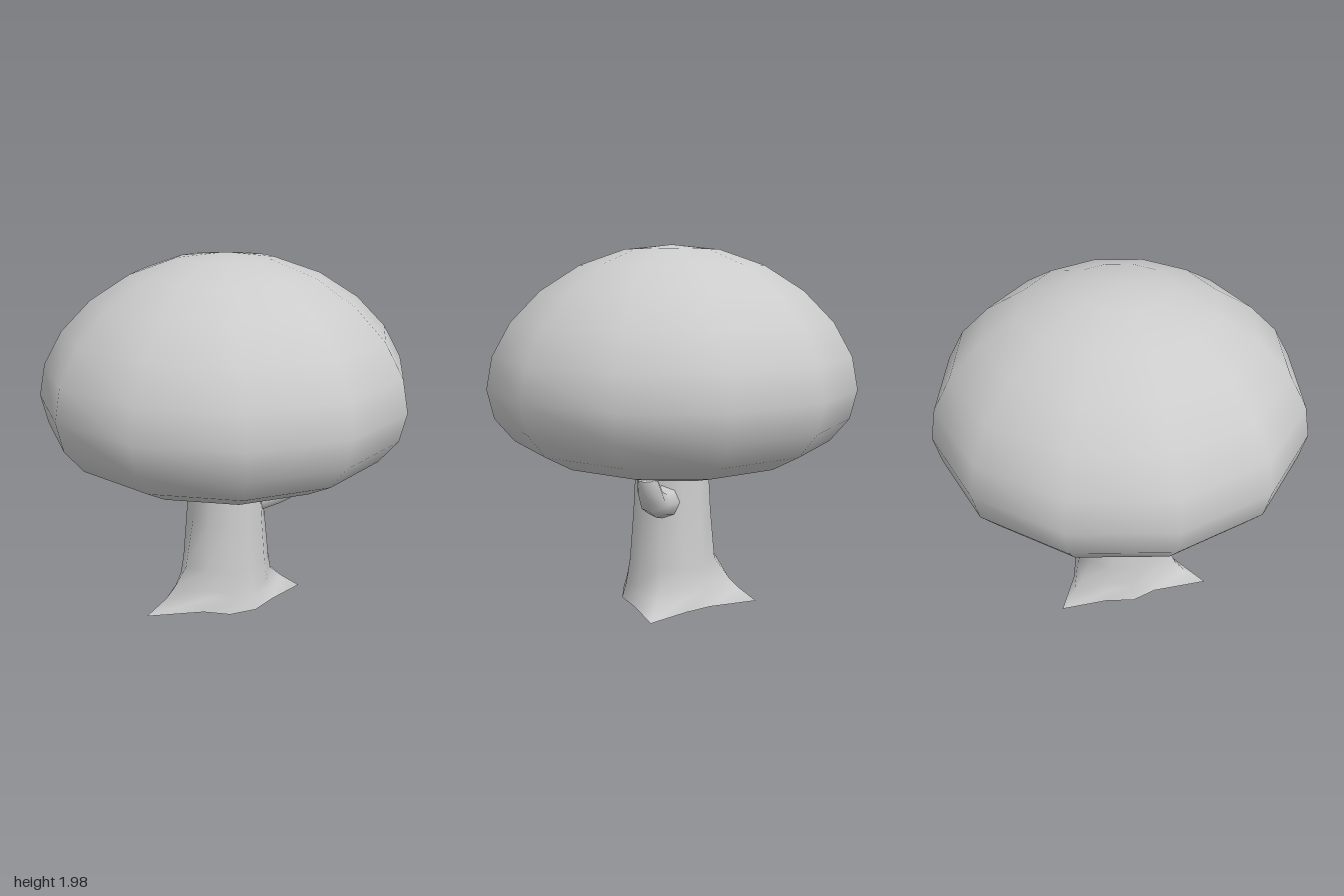
import * as THREE from 'three';
import { mergeVertices } from 'three/addons/utils/BufferGeometryUtils.js';

const material = new THREE.MeshStandardMaterial({ color: 0xcccccc, side: THREE.DoubleSide });

// Skin a list of rings (equal point counts) and close both ends with a fan;
// the fans have their own corners so the end edges stay sharp.
function loft(rings, dip = 0) {
  const n = rings[0].length;
  const last = rings.length - 1;
  const points = rings.flat();
  const index = [];
  for (let r = 0; r < last; r++) {
    for (let i = 0; i < n; i++) {
      const a = r * n + i, b = r * n + (i + 1) % n;
      index.push(a, a + n, b, b, a + n, b + n);
    }
  }
  [0, last].forEach((r) => {
    const centre = new THREE.Vector3(0, r === 0 ? -dip : 0, 0);
    rings[r].forEach((p) => centre.addScaledVector(p, 1 / n));
    const start = points.length;
    points.push(...rings[r], centre);
    for (let i = 0; i < n; i++) {
      const a = start + i, b = start + (i + 1) % n, c = start + n;
      index.push(...(r === 0 ? [c, a, b] : [c, b, a]));
    }
  });
  const geometry = new THREE.BufferGeometry().setFromPoints(points);
  geometry.setIndex(index);
  geometry.computeVertexNormals();
  return geometry;
}

function addMesh(group, name, geometry) {
  const mesh = new THREE.Mesh(geometry, material);
  mesh.name = name;
  group.add(mesh);
}

// Domed foliage: a twelve-sided ball, flatter below its widest ring
function canopyGeometry() {
  const heights = [0.768, 0.775, 0.805, 0.865, 0.955, 1.08, 1.235, 1.405, 1.58, 1.74, 1.87, 1.953, 1.98];
  const profile = heights.map((y, i) =>
    new THREE.Vector2(i % 12 === 0 ? 0 : Math.sin((i * Math.PI) / 12), y));
  const lathe = new THREE.LatheGeometry(profile, 12);
  lathe.deleteAttribute('normal');
  lathe.deleteAttribute('uv');
  const geometry = mergeVertices(lathe, 1e-4);
  geometry.computeVertexNormals();
  return geometry;
}

// Tapered trunk whose lowest rings are pulled out into three pointed roots
function trunkGeometry() {
  // height, radius, then the radius along each root
  const rows = [
    [0.01, 0.295, 0.44, 0.54, 0.49],
    [0.08, 0.275, 0.335, 0.41, 0.39],
    [0.13, 0.264, 0.268, 0.355, 0.335],
    [0.24, 0.247, 0.252, 0.275, 0.25],
    [0.52, 0.224, 0.224, 0.224, 0.224],
    [0.77, 0.21, 0.21, 0.21, 0.21],
    [0.85, 0.205, 0.205, 0.205, 0.205],
  ];
  const rootSides = [0, 5, 9];
  return loft(rows.map(([y, radius, ...roots]) => {
    const ring = [];
    for (let i = 0; i < 12; i++) {
      const k = rootSides.indexOf(i);
      const r = k < 0 ? radius : roots[k];
      const a = (i * Math.PI) / 6;
      ring.push(new THREE.Vector3(r * Math.cos(a), y, r * Math.sin(a)));
    }
    return ring;
  }), 0.01);
}

// Bent, tapering side branch reaching up into the foliage
function branchGeometry() {
  // x, y, radius, lean of the section from the x axis
  const sections = [
    [0.12, 0.61, 0.11, 0],
    [0.21, 0.613, 0.092, 0.05],
    [0.31, 0.632, 0.075, 0.2],
    [0.4, 0.675, 0.069, 0.65],
    [0.463, 0.755, 0.063, 1.1],
    [0.488, 0.815, 0.05, 1.4],
  ];
  return loft(sections.map(([x, y, r, lean]) => {
    const ring = [];
    for (let i = 0; i < 8; i++) {
      const a = (i * Math.PI) / 4;
      const up = r * Math.sin(a);
      ring.push(new THREE.Vector3(x - up * Math.sin(lean), y + up * Math.cos(lean), -r * Math.cos(a)));
    }
    return ring;
  }));
}

export function createModel() {
  const tree = new THREE.Group();
  tree.name = 'tree';
  addMesh(tree, 'canopy', canopyGeometry());
  addMesh(tree, 'trunkWithRoots', trunkGeometry());
  addMesh(tree, 'branch', branchGeometry());
  return tree;
}
